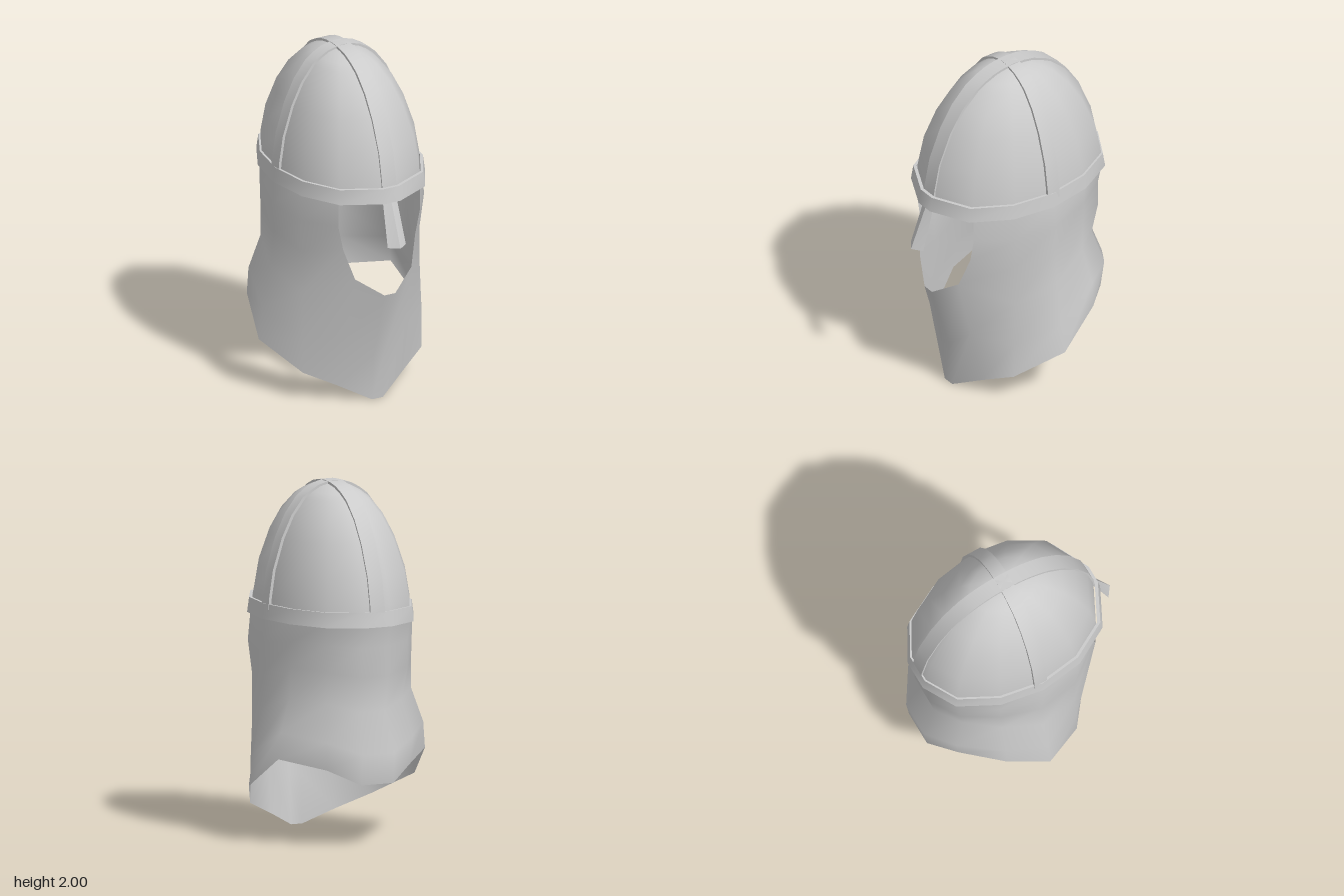
import * as THREE from 'three';
import { mergeVertices, toCreasedNormals } from 'three/addons/utils/BufferGeometryUtils.js';

const CZ = -0.05; // centre of the skull in z
const lerp = THREE.MathUtils.lerp;

// Half plan of the helmet (x, z), front to back
const HALF_PLAN = [[0.05, 0.5], [0.26, 0.395], [0.375, 0.19], [0.41, -0.05], [0.37, -0.29], [0.26, -0.5], [0.08, -0.6]];
const mirrorX = (half) => [...half, ...half.map(([x, ...rest]) => [-x, ...rest]).reverse()];
const PLAN = mirrorX(HALF_PLAN);

// Dome profile: fraction of the rim radius against height
const PROFILE = [[0, 1.988], [0.13, 1.984], [0.24, 1.972], [0.36, 1.945], [0.47, 1.91], [0.64, 1.82], [0.79, 1.695], [0.925, 1.52], [0.985, 1.36], [0.995, 1.29]];

const material = new THREE.MeshStandardMaterial({ color: 0xcccccc, side: THREE.DoubleSide });

function part(name, geometry) {
  const mesh = new THREE.Mesh(geometry, material);
  mesh.name = name;
  return mesh;
}

// Skin over rows of points (top to bottom), each row a closed loop unless open
function skin(rows, { open = false, skip = () => false } = {}) {
  const n = rows[0].length;
  const index = [];
  for (let j = 0; j < rows.length - 1; j++) {
    for (let i = 0; i < (open ? n - 1 : n); i++) {
      if (skip(j, i)) continue;
      const a = j * n + i, b = j * n + (i + 1) % n;
      index.push(a, a + n, b, b, a + n, b + n);
    }
  }
  let g = new THREE.BufferGeometry();
  g.setAttribute('position', new THREE.Float32BufferAttribute(rows.flat(2), 3));
  g.setIndex(index);
  g = mergeVertices(g, 1e-4);
  g.computeVertexNormals();
  return g;
}

// The plan outline scaled about the skull centre, at height y
const ring = (s, y, dz = 0) => PLAN.map(([x, z]) => [x * s, y, CZ + (z - CZ) * s + dz]);

// Raised strip over the dome: arch shape in (radius, y), extruded across its width
function strip(radius, width) {
  const arch = (dr, dy) => {
    const side = PROFILE.map(([r, y]) => [r * radius + dr * Math.min(1, r * 2), y + dy * (1 - r)]);
    return [...side.slice(1).map(([r, y]) => [-r, y]).reverse(), ...side];
  };
  const outline = [...arch(0.01, 0.012), ...arch(-0.02, -0.02).reverse()];
  const shape = new THREE.Shape(outline.map(([r, y]) => new THREE.Vector2(r, y)));
  const g = new THREE.ExtrudeGeometry(shape, { depth: width, bevelEnabled: false });
  g.translate(0, 0, -width / 2);
  return toCreasedNormals(g, 0.6);
}

// Neck curtain: columns run from the brow band down to a stepped hem
function curtain() {
  const drop = [0, 0.16, 0.34, 0.56, 0.81, 1];          // how far down each row lies
  const flare = [0, 0.05, 0.15, 0.35, 0.75, 1];         // blend from rim plan to hem plan
  const sideBulge = [0, 0.035, -0.02, -0.02, 0, 0];
  const backBulge = [0, -0.05, -0.045, -0.11, 0.035, 0];
  const hem = [[0.38, 0.17, 0.2], [0.52, 0.31, -0.05], [0.46, 0.49, -0.29], [0.26, 0.44, -0.49], [0.1, 0.36, -0.6]];
  const top = 1.27;
  const columns = hem.map(([hx, hy, hz], c) => {
    const [tx, tz] = HALF_PLAN[c + 2];
    const back = [0, 0, 0.5, 1, 1][c];
    return drop.map((d, j) => {
      const s = 1 + lerp(sideBulge[j], backBulge[j], back);
      return [lerp(tx * 1.02, hx, flare[j]) * s, lerp(top, hy, d), CZ + (lerp(tz, hz, flare[j]) - CZ) * s];
    });
  });
  // Edge of the face opening, then the chin column of the bib
  const cheek = [[0.262, top, 0.39], [0.262, 1.1, 0.39], [0.23, 0.95, 0.39], [0.18, 0.78, 0.435], [0.19, 0.42, 0.36], [0.2, 0.085, 0.29]];
  const chin = [[0.035, 0.68, 0.51], [0.035, 0.28, 0.39], [0.035, 0, 0.37]];
  const all = mirrorX2([[chin[0], chin[0], chin[0], ...chin], cheek, ...columns]);
  const rows = drop.map((_, j) => all.map((col) => col[j]));
  const last = all.length - 1;
  return skin(rows, { skip: (j, i) => j < 3 && (i === 0 || i >= last - 1) });
}
const mirrorX2 = (cols) => [...cols, ...cols.map((c) => c.map(([x, y, z]) => [-x, y, z])).reverse()];

export function createModel() {
  const group = new THREE.Group();
  group.name = 'helmet';

  // Skull dome
  group.add(part('dome', skin(PROFILE.map(([r, y]) => ring(r, y)))));

  // Crossing reinforcement strips
  const lengthStrip = part('lengthwiseStrip', strip(0.55, 0.09));
  lengthStrip.rotation.y = Math.PI / 2;
  lengthStrip.position.z = CZ;
  const crossStrip = part('crosswiseStrip', strip(0.41, 0.08));
  crossStrip.position.z = CZ;
  group.add(lengthStrip, crossStrip);

  // Brow band, slightly wider at its lower edge
  const band = skin([ring(0.99, 1.33, 0.01), ring(1.025, 1.33, 0.01), ring(1.05, 1.245, 0.01), ring(1.02, 1.245, 0.01), ring(0.99, 1.33, 0.01)]);
  group.add(part('browBand', toCreasedNormals(band.toNonIndexed(), 0.75)));

  // Ridged nose guard
  const guardRow = (w, y, side, ridge) => [[-w, y, side], [0, y, ridge], [w, y, side]];
  const guard = skin([guardRow(0.043, 1.29, 0.495, 0.51), guardRow(0.045, 1.24, 0.512, 0.53), guardRow(0.058, 1, 0.588, 0.63)], { open: true });
  group.add(part('noseGuard', toCreasedNormals(guard.toNonIndexed(), 0.4)));

  // Mail curtain around neck and chin
  group.add(part('neckCurtain', curtain()));
  return group;
}
